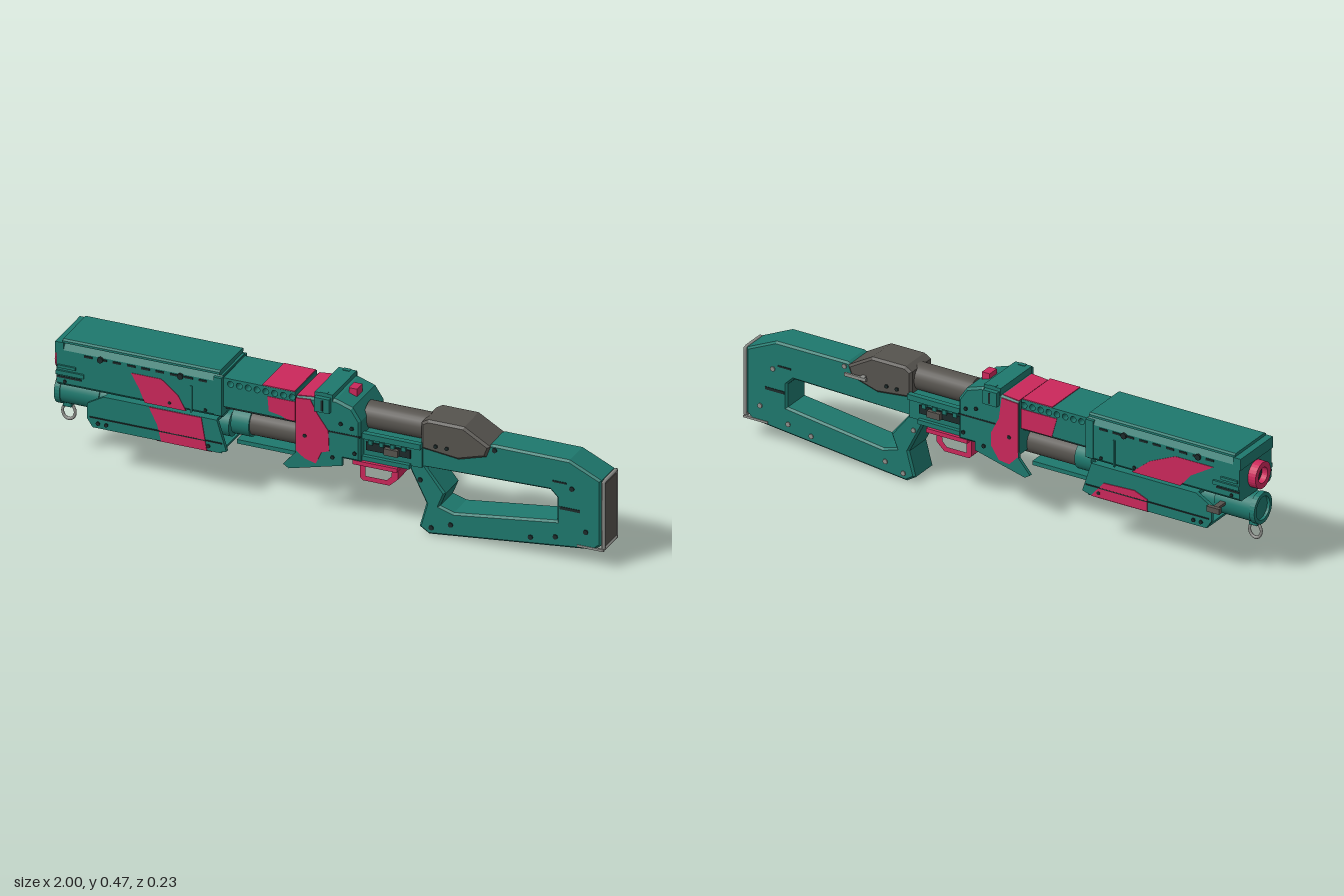
import * as THREE from 'three';

const mat = (name, color) =>
  Object.assign(new THREE.MeshStandardMaterial({ color }), { name });

export function createModel() {
  const model = new THREE.Group();
  const teal = mat('teal', 0x1e786d), pink = mat('pink', 0xcb285b);
  const grey = mat('warm grey', 0x56534e), steel = mat('steel', 0x8f908c), black = mat('near black', 0x1c2a2a);

  const add = (name, geo, m, x = 0, y = 0, z = 0) => {
    const mesh = new THREE.Mesh(geo, m);
    mesh.name = name;
    mesh.position.set(x, y, z);
    model.add(mesh);
    return mesh;
  };
  const vecs = (pts) => pts.map(([x, y]) => new THREE.Vector2(x, y));
  // side profile with a given half width, optional holes and chamfer
  const profile = (name, m, pts, half, z = 0, holes = [], bevel = 0) => {
    const s = new THREE.Shape(vecs(pts));
    s.holes.push(...holes);
    const g = new THREE.ExtrudeGeometry(s, {
      depth: 2 * (half - bevel), bevelEnabled: bevel > 0, bevelSize: bevel,
      bevelOffset: -bevel, bevelThickness: bevel, bevelSegments: 1, curveSegments: 10,
    });
    g.translate(0, 0, bevel - half);
    return add(name, g, m, 0, 0, z);
  };
  // cross-section given as half outline (z, y), mirrored and swept along x
  const section = (name, m, half, x0, x1) => {
    const pts = [...half, ...half.slice().reverse().map(([z, y]) => [-z, y])];
    const g = new THREE.ExtrudeGeometry(new THREE.Shape(vecs(pts)), { depth: x1 - x0, bevelEnabled: false });
    g.rotateY(Math.PI / 2);
    return add(name, g, m, x0);
  };
  const box = (name, m, x0, x1, y0, y1, z0, z1) =>
    add(name, new THREE.BoxGeometry(x1 - x0, y1 - y0, z1 - z0), m, (x0 + x1) / 2, (y0 + y1) / 2, (z0 + z1) / 2);
  const rod = (name, m, x0, x1, y, r) => {
    const g = new THREE.CylinderGeometry(r, r, x1 - x0, 28);
    g.rotateZ(Math.PI / 2);
    return add(name, g, m, (x0 + x1) / 2, y);
  };
  const ring = (name, m, x0, x1, y, r, inner) => {
    const s = new THREE.Shape().absarc(0, 0, r, 0, Math.PI * 2);
    s.holes.push(new THREE.Path().absarc(0, 0, inner, 0, Math.PI * 2));
    const g = new THREE.ExtrudeGeometry(s, { depth: x1 - x0, bevelEnabled: false, curveSegments: 14 });
    g.rotateY(Math.PI / 2);
    return add(name, g, m, x0, y);
  };
  const bothSides = (fn) => [1, -1].forEach(fn);
  // thin painted plate on one side (sign of z)
  const paint = (name, m, z, pts) => profile(name, m, pts, 0.002, z);
  const bolt = (x, y, z, r = 0.008, back = black) => bothSides((s) => {
    const g = new THREE.CylinderGeometry(r, r, 0.008, 8);
    g.rotateX(Math.PI / 2);
    add('bolt', g, s > 0 ? black : back, x, y, s * z);
  });

  // barrel shroud
  section('barrelShroud', teal, [[0.088, 0.30], [0.1, 0.312], [0.1, 0.435], [0.088, 0.455]], -0.97, -0.372);
  section('shroudTopPlate', teal, [[0.088, 0.455], [0.097, 0.46], [0.097, 0.468], [0.09, 0.473]], -0.95, -0.38);
  box('shroudFrontLip', teal, -0.975, -0.945, 0.42, 0.462, -0.1, 0.1);
  box('shroudRearBand', teal, -0.40, -0.37, 0.31, 0.45, -0.103, 0.103);
  paint('shroudPaint', pink, 0.1, [[-0.7, 0.402], [-0.59, 0.402], [-0.53, 0.355], [-0.5, 0.302], [-0.65, 0.302], [-0.67, 0.35]]);
  paint('shroudPaint', pink, -0.1, [[-0.87, 0.405], [-0.72, 0.405], [-0.62, 0.36], [-0.55, 0.302], [-0.74, 0.302], [-0.78, 0.35]]);
  bothSides((s) => {
    for (let i = 0; i < 9; i++) {
      const x = -0.87 + i * 0.052;
      box('shroudSlot', black, x, x + 0.03, 0.424, 0.431, s * 0.101 - 0.002, s * 0.101 + 0.002);
    }
    box('shroudSeam', black, -0.97, -0.88, 0.332, 0.339, s * 0.1 - 0.002, s * 0.1 + 0.002);
    box('sideRail', teal, -0.97, -0.87, 0.345, 0.36, s * 0.101 - 0.006, s * 0.101 + 0.006);
    box('sideRail', teal, -0.965, -0.90, 0.37, 0.38, s * 0.101 - 0.006, s * 0.101 + 0.006);
    box('shroudRib', teal, -0.485, -0.478, 0.302, 0.4, s * 0.101 - 0.003, s * 0.101 + 0.003);
  });
  [-0.81, -0.52].forEach((x) => bolt(x, 0.428, 0.104, 0.011));
  [-0.94, -0.56, -0.43].forEach((x) => bolt(x, 0.32, 0.1, 0.006));

  // muzzle and lower tube
  ring('muzzleRing', pink, -1, -0.96, 0.367, 0.048, 0.028);
  rod('bore', black, -0.978, -0.965, 0.367, 0.03);
  rod('lowerTube', teal, -0.99, -0.84, 0.245, 0.052);
  ring('lowerTubeRim', teal, -1, -0.98, 0.245, 0.056, 0.042);
  add('slingRing', new THREE.TorusGeometry(0.023, 0.005, 8, 20), steel, -0.97, 0.157).scale.y = 1.2;
  box('slingLug', teal, -0.985, -0.955, 0.18, 0.198, -0.015, 0.015);
  box('sideLatch', grey, -0.9, -0.85, 0.242, 0.262, -0.115, -0.1);
  box('latchArm', grey, -0.885, -0.865, 0.248, 0.258, -0.105, -0.04);

  // channel shaped fore grip
  const grip = [[-0.86, 0.2], [-0.84, 0.17], [-0.39, 0.17], [-0.355, 0.18], [-0.39, 0.29], [-0.80, 0.29], [-0.86, 0.255]];
  bothSides((s) => {
    profile('foreGripSide', teal, grip, 0.007, s * 0.092);
    box('foreGripGroove', black, -0.85, -0.37, 0.205, 0.209, s * 0.1 - 0.0025, s * 0.1 + 0.0025);
  });
  box('foreGripFloor', teal, -0.84, -0.375, 0.168, 0.176, -0.095, 0.095);
  box('foreGripRoof', teal, -0.80, -0.395, 0.275, 0.288, -0.09, 0.09);
  paint('foreGripPaint', pink, 0.1, [[-0.635, 0.289], [-0.445, 0.289], [-0.425, 0.17], [-0.59, 0.17], [-0.605, 0.23]]);
  paint('foreGripPaint', pink, -0.1, [[-0.61, 0.215], [-0.56, 0.235], [-0.44, 0.23], [-0.39, 0.171], [-0.61, 0.171]]);
  box('foreGripFloorPaint', pink, -0.61, -0.41, 0.1655, 0.168, -0.094, 0.094);
  [-0.82, -0.79, -0.42].forEach((x) => bolt(x, 0.188, 0.1, 0.007));
  rod('foreGripCore', teal, -0.85, -0.37, 0.24, 0.048);

  // vented barrel housing
  const vents = Array.from({ length: 8 }, (_, i) =>
    new THREE.Path().absarc(-0.345 + i * 0.032, 0.427, 0.011, 0, Math.PI * 2, true));
  profile('ventedHousing', teal, [[-0.375, 0.34], [-0.11, 0.34], [-0.11, 0.447], [-0.375, 0.447]], 0.088, 0, vents);
  paint('housingPaint', pink, 0.088, [[-0.21, 0.412], [-0.11, 0.412], [-0.11, 0.34], [-0.14, 0.34], [-0.16, 0.35], [-0.205, 0.358]]);
  paint('housingPaint', pink, -0.088, [[-0.25, 0.412], [-0.11, 0.412], [-0.11, 0.34], [-0.23, 0.34]]);
  box('housingTopPaint', pink, -0.23, -0.113, 0.446, 0.45, -0.087, 0.087);
  box('housingUnderside', black, -0.37, -0.1, 0.325, 0.341, -0.07, 0.07);

  // magazine tube under the housing
  rod('magazineCollar', teal, -0.36, -0.295, 0.26, 0.053);
  rod('magazineTube', grey, -0.30, -0.09, 0.26, 0.046);
  box('actionBar', teal, -0.345, -0.12, 0.183, 0.198, -0.035, 0.035);

  // receiver
  const receiver = [[-0.105, 0.24], [0.13, 0.24], [0.13, 0.39], [0.1, 0.435], [0.04, 0.455], [-0.105, 0.437]];
  profile('receiver', teal, receiver, 0.098, 0, [], 0.008);
  const wing = [[-0.105, 0.25], [0.065, 0.25], [0.065, 0.215], [-0.13, 0.165], [-0.15, 0.178], [-0.105, 0.23]];
  bothSides((s) => {
    profile('receiverWing', teal, wing, 0.006, s * 0.092);
    paint('wingInnerPaint', pink, s * 0.085, [[-0.1, 0.24], [0.01, 0.24], [-0.02, 0.208], [-0.07, 0.195]]);
    box('receiverSeam', black, -0.02, 0.13, 0.331, 0.336, s * 0.098 - 0.0015, s * 0.098 + 0.0015);
  });
  paint('receiverPaint', pink, 0.0985, [[-0.104, 0.433], [-0.05, 0.438], [-0.025, 0.39], [0.015, 0.335], [0.018, 0.26],
    [-0.01, 0.25], [-0.03, 0.205], [-0.07, 0.215], [-0.104, 0.24]]);
  paint('receiverPaint', pink, -0.0985, [[-0.104, 0.433], [-0.04, 0.438], [-0.03, 0.36], [0, 0.3], [0, 0.25],
    [-0.03, 0.205], [-0.07, 0.2], [-0.104, 0.235]]);
  profile('receiverTopPaint', pink, [[-0.102, 0.434], [-0.04, 0.4435], [-0.04, 0.447], [-0.102, 0.4405]], 0.09);
  box('receiverUnderside', pink, -0.09, 0.02, 0.236, 0.241, -0.086, 0.086);
  [[0.1, 0.36], [0.11, 0.27], [-0.07, 0.30], [0.06, 0.37], [0.03, 0.24]].forEach(([x, y]) => bolt(x, y, 0.099, 0.007));

  // sight block straddling the receiver
  box('sightBridge', teal, -0.035, 0.03, 0.44, 0.47, -0.098, 0.098);
  bothSides((s) => {
    box('sightCheek', teal, -0.03, 0.025, 0.406, 0.458, s * 0.106 - 0.009, s * 0.106 + 0.009);
    box('sightTab', teal, -0.015, 0.01, 0.455, 0.472, s * 0.09 - 0.008, s * 0.09 + 0.008);
    box('sightGroove', black, -0.005, 0.002, 0.412, 0.452, s * 0.114 - 0.002, s * 0.114 + 0.002);
  });
  box('rearSight', pink, 0.055, 0.085, 0.44, 0.468, -0.022, 0.022);

  // rear tube and lower frame
  rod('rearTube', grey, 0.12, 0.345, 0.376, 0.047);
  box('lowerFrame', teal, 0.12, 0.34, 0.25, 0.335, -0.068, 0.068);
  bothSides((s) => {
    box('frameRail', teal, 0.12, 0.34, 0.322, 0.342, s * 0.072 - 0.01, s * 0.072 + 0.01);
    box('frameRail', teal, 0.12, 0.30, 0.242, 0.258, s * 0.072 - 0.01, s * 0.072 + 0.01);
    box('frameSlot', black, 0.14, 0.30, 0.278, 0.308, s * 0.07 - 0.003, s * 0.07 + 0.003);
    box('selector', grey, 0.21, 0.26, 0.28, 0.304, s * 0.078 - 0.01, s * 0.078 + 0.01);
    for (let i = 0; i < 4; i++)
      box('frameTooth', teal, 0.15 + i * 0.04, 0.165 + i * 0.04, 0.302, 0.318, s * 0.073 - 0.006, s * 0.073 + 0.006);
  });

  // trigger guard
  box('guardPlate', pink, 0.1, 0.26, 0.226, 0.241, -0.092, 0.092);
  const loopHole = new THREE.Path(vecs([[0.128, 0.222], [0.225, 0.222], [0.222, 0.185], [0.205, 0.168], [0.128, 0.168]]));
  profile('triggerGuard', pink, [[0.108, 0.235], [0.248, 0.235], [0.245, 0.178], [0.215, 0.15], [0.118, 0.15], [0.108, 0.16]],
    0.05, 0, [loopHole]);
  profile('trigger', pink, [[0.21, 0.23], [0.226, 0.23], [0.222, 0.19], [0.212, 0.185]], 0.012);

  // stock with grip opening
  const opening = new THREE.Path(vecs([[0.35, 0.25], [0.80, 0.26], [0.825, 0.235], [0.825, 0.15], [0.45, 0.1], [0.4, 0.115], [0.42, 0.165]]));
  profile('stock', teal, [[0.285, 0.245], [0.35, 0.115], [0.325, 0.025], [0.36, 0.003], [0.96, 0.068], [0.985, 0.09],
    [0.985, 0.33], [0.87, 0.383], [0.59, 0.383], [0.5, 0.335], [0.33, 0.335], [0.29, 0.3]], 0.058, 0, [opening], 0.007);
  [[0.37, 0.03], [0.44, 0.055], [0.33, 0.2], [0.73, 0.07], [0.88, 0.28], [0.6, 0.365], [0.82, 0.09], [0.93, 0.13]]
    .forEach(([x, y]) => bolt(x, y, 0.058, 0.009, steel));
  bothSides((s) => {
    box('stockSlot', black, 0.81, 0.86, 0.293, 0.299, s * 0.058 - 0.002, s * 0.058 + 0.002);
    box('stockSlot', black, 0.835, 0.91, 0.197, 0.207, s * 0.058 - 0.002, s * 0.058 + 0.002);
  });

  // cheek cap
  profile('cheekCap', grey, [[0.335, 0.32], [0.47, 0.305], [0.57, 0.335], [0.585, 0.375], [0.49, 0.43], [0.36, 0.43], [0.335, 0.415]],
    0.066, 0, [], 0.008);
  [0.39, 0.43].forEach((x) => bolt(x, 0.34, 0.067, 0.007));
  box('slingClip', steel, 0.5, 0.585, 0.345, 0.357, -0.086, -0.078);
  box('slingClipPost', steel, 0.51, 0.525, 0.345, 0.357, -0.082, -0.055);

  // butt pad and its wire frame
  box('buttPad', grey, 0.98, 0.996, 0.085, 0.318, -0.044, 0.044);
  const corners = [[0.078, 0.051], [0.325, 0.051], [0.325, -0.051], [0.078, -0.051]];
  const frame = new THREE.CatmullRomCurve3(corners.map(([y, z]) => new THREE.Vector3(0.992, y, z)), true, 'catmullrom', 0.02);
  add('buttFrame', new THREE.TubeGeometry(frame, 80, 0.007, 6, true), steel);
  bothSides((s) => box('frameStrut', steel, 0.9, 0.995, 0.07, 0.078, s * 0.056 - 0.004, s * 0.056 + 0.004));

  return model;
}
